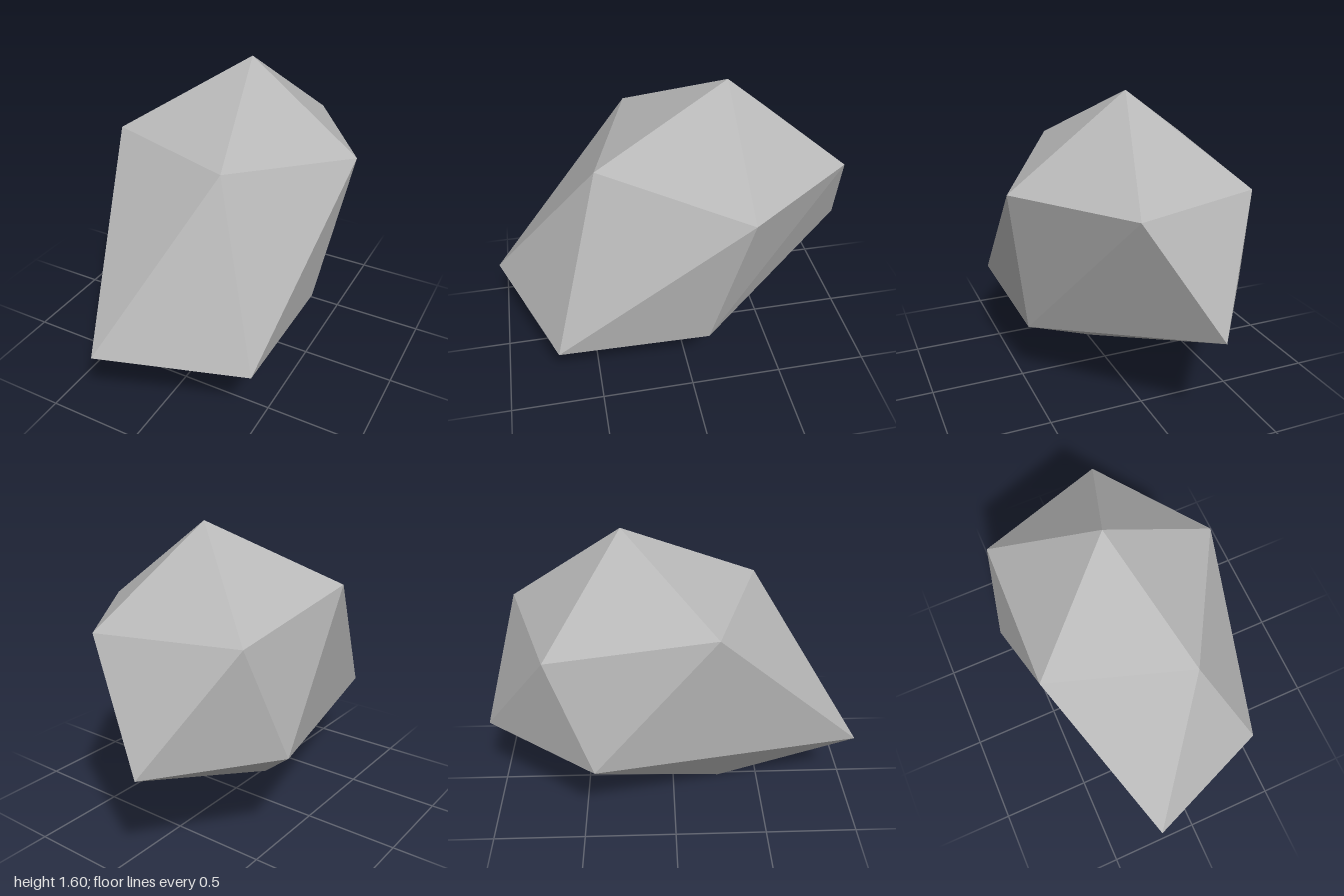
import * as THREE from 'three';

// Rough faceted stone: a twisted icosahedron made of two poles and two rings of five.
export function createModel() {
  const top = [0, 1.6, -0.26];
  const bottom = [-0.02, 0, 0.27];
  const upperRing = [
    [-0.53, 1.265, 0.2], [0.19, 1.265, 0.44], [0.61, 1.145, -0.265],
    [0.185, 1.145, -0.855], [-0.51, 1.145, -0.63],
  ];
  const lowerRing = [
    [-0.22, 0.425, 1], [0.5, 0.375, 0.71], [0.48, 0.335, -0.09],
    [-0.185, 0.56, -1], [-0.615, 0.56, -0.41],
  ];

  // Top cap, zigzag band and bottom cap, one fifth at a time
  const corners = [];
  for (let i = 0; i < 5; i++) {
    const n = (i + 1) % 5;
    corners.push(
      top, upperRing[i], upperRing[n],
      upperRing[i], lowerRing[i], upperRing[n],
      lowerRing[i], lowerRing[n], upperRing[n],
      bottom, lowerRing[n], lowerRing[i],
    );
  }
  const geometry = new THREE.BufferGeometry();
  geometry.setAttribute('position', new THREE.Float32BufferAttribute(corners.flat(), 3));
  geometry.computeVertexNormals();

  const stoneGrey = new THREE.MeshStandardMaterial({ color: 0xb8b8b8 });
  stoneGrey.name = 'stoneGrey';
  const stone = new THREE.Mesh(geometry, stoneGrey);
  stone.name = 'stone';

  const group = new THREE.Group();
  group.name = 'rock';
  group.add(stone);
  return group;
}
